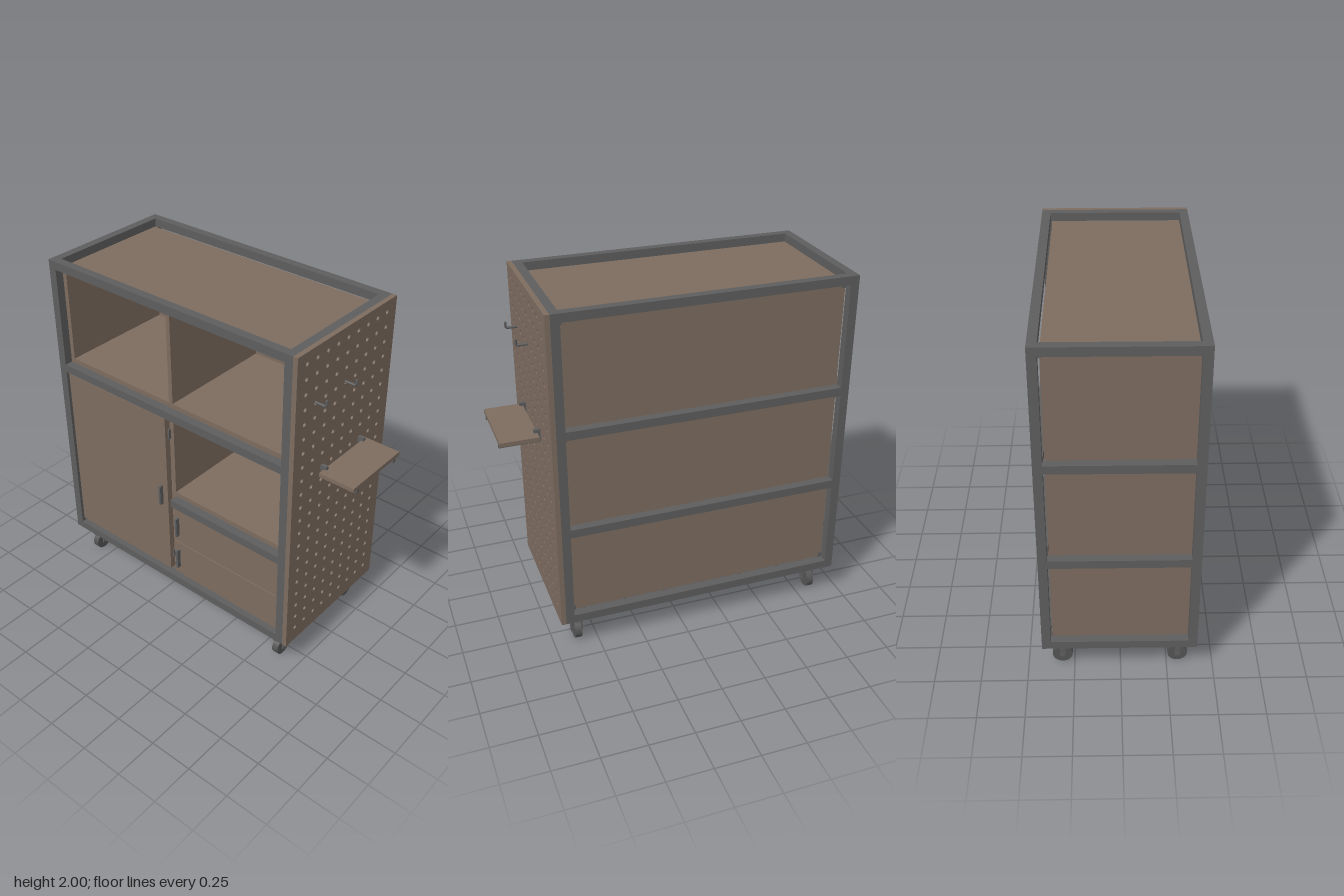
import * as THREE from 'three';

const mat = (name, color) => {
  const m = new THREE.MeshStandardMaterial({ color });
  m.name = name;
  return m;
};

export function createModel() {
  const root = new THREE.Group();
  root.name = 'rollingCabinet';
  const wood = mat('brown wood', 0x7d6c5f);
  const steel = mat('grey steel', 0x5e5e5e);
  const rubber = mat('dark grey rubber', 0x555555);

  const add = (parent, name, geometry, material) => {
    const m = new THREE.Mesh(geometry, material);
    m.name = name;
    parent.add(m);
    return m;
  };
  // Box given by its limits on each axis
  const box = (parent, name, material, x0, x1, y0, y1, z0, z1) => {
    const m = add(parent, name, new THREE.BoxGeometry(x1 - x0, y1 - y0, z1 - z0), material);
    m.position.set((x0 + x1) / 2, (y0 + y1) / 2, (z0 + z1) / 2);
    return m;
  };
  const group = (name) => {
    const g = new THREE.Group();
    g.name = name;
    root.add(g);
    return g;
  };

  // Outer limits of the frame and its tube size
  const L = -0.945, R = 0.69, B = -0.419, F = 0.407, T = 0.048;
  const li = L + T, ri = R - T, bi = B + T, fi = F - T;

  // Steel frame: four posts and horizontal rings
  const frame = group('frame');
  for (const x of [L, ri]) for (const z of [B, fi])
    box(frame, 'post', steel, x, x + T, 0.18, 2, z, z + T);
  for (const y of [0.18, 0.737, 1.32, 1.952]) {
    box(frame, 'backRail', steel, li, ri, y, y + T, B, bi);
    box(frame, 'frontRail', steel, y === 0.737 ? -0.117 : li, ri, y, y + T, fi, F);
    for (const x of [L, ri]) box(frame, 'sideRail', steel, x, x + T, y, y + T, bi, fi);
  }
  // Small corner brackets holding the back panel
  for (const y of [0.228, 0.707, 1.29, 1.922])
    for (const x of [li, ri - 0.02]) box(frame, 'cornerBracket', steel, x, x + 0.02, y, y + 0.03, bi, bi + 0.02);

  // Wooden carcass
  const body = group('carcass');
  const pb = bi + 0.008;
  box(body, 'topPanel', wood, li, ri, 1.93, 1.953, pb, fi);
  box(body, 'upperShelf', wood, li, ri, 1.368, 1.397, pb, fi);
  box(body, 'rightShelf', wood, -0.117, ri, 0.785, 0.813, pb, fi);
  box(body, 'bottomPanel', wood, li, ri, 0.228, 0.257, pb, fi);
  box(body, 'backPanel', wood, -0.87, 0.632, 0.235, 1.93, pb, pb + 0.02);
  box(body, 'leftPanel', wood, li, -0.87, 0.235, 1.93, pb, fi);
  box(body, 'rightPanel', wood, 0.636, ri + 0.003, 0.235, 1.93, pb, fi);
  box(body, 'upperDivider', wood, -0.143, -0.117, 1.397, 1.93, pb, fi);
  box(body, 'lowerDivider', wood, -0.143, -0.117, 0.257, 1.368, pb, fi);

  // Door and drawers with upright handles
  const fronts = group('doorAndDrawers');
  const handle = (x, y) => box(fronts, 'handle', steel, x - 0.007, x + 0.007, y - 0.063, y + 0.063, 0.393, 0.419);
  box(fronts, 'door', wood, -0.89, -0.147, 0.257, 1.306, fi, 0.395);
  handle(-0.19, 0.785);
  for (const y of [0.36, 1.2])
    box(fronts, 'hinge', steel, -0.147, -0.137, y - 0.03, y + 0.03, fi, 0.375);
  for (const [y0, y1, hy] of [[0.259, 0.49, 0.378], [0.497, 0.73, 0.61]]) {
    box(fronts, 'drawerFront', wood, -0.109, 0.634, y0, y1, fi, 0.395);
    box(fronts, 'drawerBox', wood, -0.1, 0.62, y0 + 0.01, y1 - 0.03, -0.3, fi);
    handle(-0.075, hy);
  }

  // Perforated side board, drawn in (-z, y) and turned to face +x
  const board = new THREE.Shape([[-F, 0.18], [-B, 0.18], [-B, 2], [-F, 2]].map(p => new THREE.Vector2(...p)));
  for (let i = 0; i < 9; i++) for (let j = 0; j < 21; j++) {
    const hole = new THREE.Path();
    hole.absarc(-0.332 + i * 0.0837, 0.272 + j * 0.0833, 0.012, 0, Math.PI * 2, true);
    board.holes.push(hole);
  }
  const boardGeo = new THREE.ExtrudeGeometry(board, { depth: 0.027, bevelEnabled: false, curveSegments: 12 });
  boardGeo.rotateY(Math.PI / 2);
  add(root, 'pegboard', boardGeo, wood).position.x = R;

  // Bent hooks on the pegboard
  for (const z of [0.246, -0.004]) {
    const path = new THREE.CurvePath();
    const pts = [[0.7, 1.69], [0.772, 1.69], [0.779, 1.697], [0.779, 1.722]].map(p => new THREE.Vector3(p[0], p[1], z));
    for (let i = 0; i < 3; i++) path.add(new THREE.LineCurve3(pts[i], pts[i + 1]));
    add(root, 'hook', new THREE.TubeGeometry(path, 24, 0.007, 10), steel);
    const tip = add(root, 'hookTip', new THREE.CylinderGeometry(0.007, 0.007, 0.004, 10), steel);
    tip.position.set(0.779, 1.721, z);
  }

  // Hanging side shelf on two brackets
  const shelf = group('sideShelf');
  box(shelf, 'shelfBoard', wood, 0.73, 0.94, 1.232, 1.255, -0.215, 0.203);
  for (const z of [0.163, -0.171]) {
    box(shelf, 'bracketArm', steel, 0.72, 0.94, 1.21, 1.232, z - 0.01, z + 0.01);
    box(shelf, 'bracketUpright', steel, 0.717, 0.73, 1.21, 1.28, z - 0.01, z + 0.01);
    box(shelf, 'bracketPeg', steel, 0.7, 0.752, 1.264, 1.282, z - 0.01, z + 0.01);
  }

  // Casters
  for (const x of [-0.84, 0.61]) for (const z of [0.31, -0.315]) {
    const c = group('caster');
    c.position.set(x, 0, z);
    box(c, 'mountPlate', steel, -0.042, 0.042, 0.168, 0.181, -0.036, 0.036);
    const swivel = add(c, 'swivel', new THREE.CylinderGeometry(0.028, 0.028, 0.022, 20), steel);
    swivel.position.y = 0.158;
    box(c, 'forkTop', steel, -0.033, 0.033, 0.138, 0.15, -0.02, 0.02);
    for (const s of [-1, 1])
      box(c, 'forkLeg', steel, s * 0.028 - 0.005, s * 0.028 + 0.005, 0.045, 0.145, -0.015, 0.015);
    box(c, 'brakePedal', steel, -0.015, 0.015, 0.117, 0.124, 0.015, 0.052);
    const wheel = add(c, 'wheel', new THREE.CylinderGeometry(0.054, 0.054, 0.038, 32).rotateZ(Math.PI / 2), rubber);
    wheel.position.y = 0.055;
    const axle = add(c, 'axle', new THREE.CylinderGeometry(0.009, 0.009, 0.072, 12).rotateZ(Math.PI / 2), steel);
    axle.position.y = 0.057;
  }

  return root;
}
